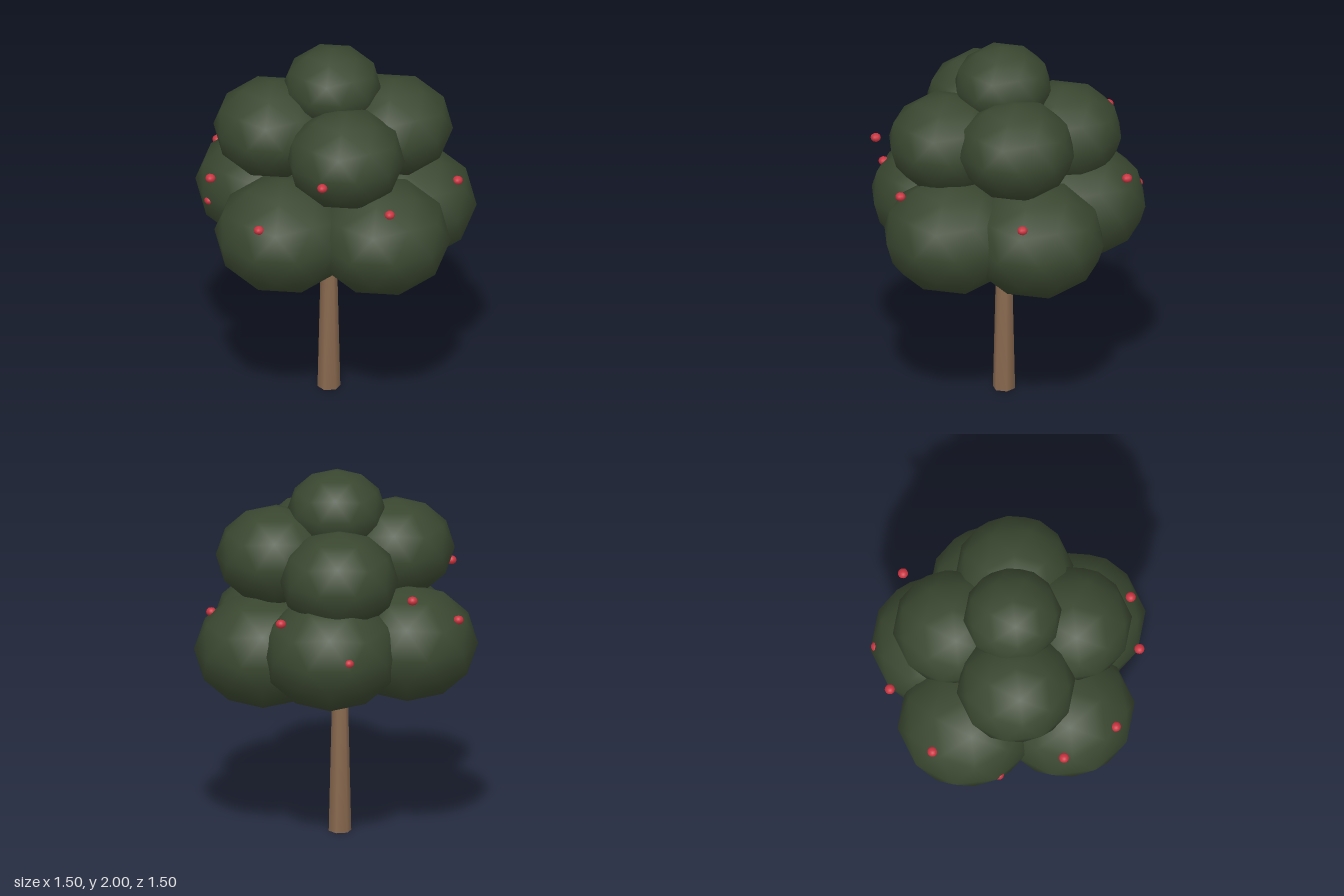
import * as THREE from 'three';
import { mergeVertices } from 'three/addons/utils/BufferGeometryUtils.js';

const leafGreen = new THREE.MeshStandardMaterial({ name: 'leafGreen', color: 0x3a4730 });
const barkBrown = new THREE.MeshStandardMaterial({ name: 'barkBrown', color: 0x8a6a50 });
const berryRed = new THREE.MeshStandardMaterial({ name: 'berryRed', color: 0xc8323f });

// Low-poly ball with a vertex at each pole and smooth normals
function ballGeometry() {
  const g = new THREE.IcosahedronGeometry(1, 1);
  g.rotateZ(-Math.atan(2 / (1 + Math.sqrt(5))));
  return g;
}

// Tapered trunk, shaded smoothly over its end caps
function trunkGeometry() {
  const g = new THREE.CylinderGeometry(0.036, 0.061, 1.05, 6);
  g.translate(0, 0.525, 0);
  g.deleteAttribute('normal');
  g.deleteAttribute('uv');
  const merged = mergeVertices(g);
  merged.computeVertexNormals();
  return merged;
}

export function createModel() {
  const tree = new THREE.Group();
  tree.name = 'berryTree';

  const trunk = new THREE.Mesh(trunkGeometry(), barkBrown);
  trunk.name = 'trunk';
  tree.add(trunk);

  const ball = ballGeometry();
  const addBall = (name, material, [x, y, z], rx, ry) => {
    const mesh = new THREE.Mesh(ball, material);
    mesh.name = name;
    mesh.position.set(x, y, z);
    mesh.scale.set(rx, ry, rx);
    tree.add(mesh);
  };

  // Foliage: wide lower ring, middle ring and crown
  const lower = [
    [-0.085, 1.05, 0.378], [0.395, 1.05, 0.18], [0.335, 1.05, -0.265],
    [-0.085, 1.11, -0.383], [-0.40, 1.10, -0.045],
  ];
  const middle = [
    [-0.25, 1.555, 0.17], [0.22, 1.505, 0.255], [0.31, 1.545, -0.15], [-0.10, 1.49, -0.30],
  ];
  lower.forEach((p) => addBall('lowerFoliage', leafGreen, p, 0.372, 0.312));
  middle.forEach((p) => addBall('middleFoliage', leafGreen, p, 0.318, 0.267));
  addBall('crownFoliage', leafGreen, [0.02, 1.78, 0], 0.263, 0.22);

  // Berries around the canopy
  const berries = [
    [0.085, 1.345, -0.70], [0.63, 1.23, -0.27], [0.56, 1.315, 0.42],
    [0.265, 1.505, 0.635], [-0.085, 1.205, 0.685], [-0.43, 1.385, 0.56],
    [-0.585, 1.085, 0.25], [-0.70, 1.27, -0.09], [-0.56, 1.46, -0.425],
    [-0.285, 1.15, -0.66],
  ];
  berries.forEach((p) => addBall('berry', berryRed, p, 0.028, 0.024));

  return tree;
}
